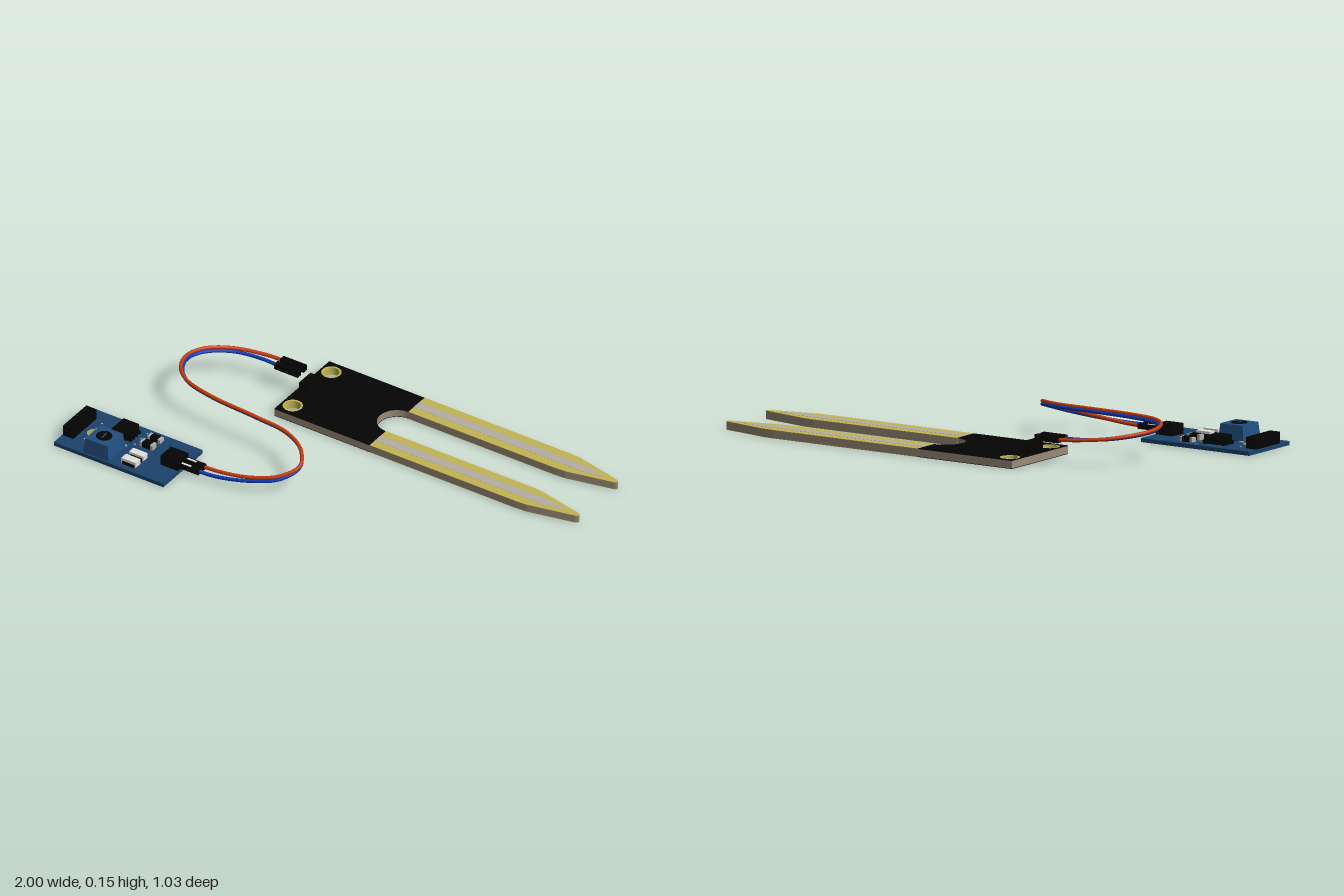
import * as THREE from 'three';

const mat = (name, color) => {
  const m = new THREE.MeshStandardMaterial({ color });
  m.name = name;
  return m;
};

export function createModel() {
  const M = {
    blue: mat('boardBlue', 0x1b426b),
    potBlue: mat('trimmerBlue', 0x214f7f),
    black: mat('black', 0x040404),
    gold: mat('gold', 0xc2b452),
    tin: mat('tin', 0xb4aea6),
    fibre: mat('boardEdge', 0x998b76),
    red: mat('redWire', 0xc83c0e),
    wireBlue: mat('blueWire', 0x1238b4),
    white: mat('white', 0xe2e2de),
  };
  const root = new THREE.Group();
  root.name = 'moistureSensorKit';

  const add = (parent, name, geo, material, x = 0, y = 0, z = 0) => {
    const mesh = new THREE.Mesh(geo, material);
    mesh.name = name;
    mesh.position.set(x, y, z);
    parent.add(mesh);
    return mesh;
  };
  const group = (name) => {
    const g = new THREE.Group();
    g.name = name;
    root.add(g);
    return g;
  };
  // box from its limits along each axis
  const box = (parent, name, m, x0, x1, y0, y1, z0, z1) =>
    add(parent, name, new THREE.BoxGeometry(x1 - x0, y1 - y0, z1 - z0), m,
      (x0 + x1) / 2, (y0 + y1) / 2, (z0 + z1) / 2);
  // flat slab: shape y points to -z, thickness runs from y0 to y1
  const slab = (parent, name, shape, m, y0, y1) => {
    const geo = new THREE.ExtrudeGeometry(shape, { depth: y1 - y0, bevelEnabled: false, curveSegments: 24 });
    return add(parent, name, geo.rotateX(-Math.PI / 2), m, 0, y0, 0);
  };
  const poly = (pts) => new THREE.Shape(pts.map(([x, y]) => new THREE.Vector2(x, y)));
  const hole = (x, y, r) => new THREE.Path().absarc(x, y, r, 0, Math.PI * 2, true);
  // plated hole: a gold barrel through the whole board
  const barrel = (parent, name, x, z, inner, outer, y0, y1) => {
    const s = new THREE.Shape().absarc(x, -z, outer, 0, Math.PI * 2, false);
    s.holes.push(hole(x, -z, inner));
    slab(parent, name, s, M.gold, y0, y1);
  };

  // ---------- forked probe ----------
  const probe = group('probe');
  const T = 0.034, C = 0.326, SLOT = 0.08, NECK = 0.055;
  const prongs = [0.4625, 0.1895];
  const mounts = prongs.map((v) => [-0.345, -v]);
  // prong edge from the neck round the tip, lower edge first
  const prongPoints = (c, h = 0.0575) => [
    [NECK, c - h], [0.74, c - h], [0.79, c - h * 0.95], [0.85, c - h * 0.72], [0.99, c - 0.011],
    [1, c - 0.006], [1, c + 0.006], [0.99, c + 0.011], [0.85, c + h * 0.72], [0.79, c + h * 0.95],
    [0.74, c + h], [NECK, c + h],
  ];
  // curved root of the slot, from its lower to its upper edge
  const slotArc = [];
  for (let i = 0; i <= 20; i++) {
    const a = Math.PI * 1.5 - (Math.PI * i) / 20;
    slotArc.push([NECK + SLOT * Math.cos(a), C + SLOT * Math.sin(a)]);
  }
  const [far, near] = prongs;
  const left = [[-0.393, 0.52], [-0.393, 0.132]];
  const cutMounts = (shape) => {
    mounts.forEach(([x, z]) => shape.holes.push(hole(x, -z, 0.04)));
    return shape;
  };
  const outline = cutMounts(poly([...left, ...prongPoints(near), ...slotArc, ...prongPoints(far)]));
  slab(probe, 'probeCore', outline, M.fibre, 0.002, T - 0.002);
  mounts.forEach(([x, z]) => barrel(probe, 'mountBarrel', x, z, 0.032, 0.04, 0, T));

  const mask = cutMounts(poly([...left, [NECK, 0.132], ...slotArc, [NECK, 0.52]]));
  // plating, mask and tinned strip on each face; the strip stands slightly proud
  const faces = [
    { y0: 0, y1: 0.002, strip: -0.0006, w: 0.026 },
    { y0: T - 0.002, y1: T, strip: T, w: 0.02 },
  ];
  faces.forEach(({ y0, y1, strip, w }) => {
    slab(probe, 'solderMask', mask, M.black, y0, y1);
    prongs.forEach((c) => {
      slab(probe, 'prongPlating', poly(prongPoints(c)), M.gold, y0, y1);
      const shape = poly([[NECK, c - w], [0.84, c - w], [0.93, c - 0.004],
        [0.93, c + 0.004], [0.84, c + w], [NECK, c + w]]);
      slab(probe, 'tinStrip', shape, M.tin, strip, strip + 0.0006);
    });
  });
  box(probe, 'probeHeader', M.black, -0.375, -0.335, T, 0.08, -0.36, -0.28);

  // ---------- sensor module ----------
  const module = group('sensorModule');
  const B = 0.016;
  const board = poly([[-1, -0.515], [-0.485, -0.515], [-0.485, -0.237], [-1, -0.237]]);
  board.holes.push(hole(-0.905, -0.377, 0.026));
  slab(module, 'moduleBoard', board, M.blue, 0, B);
  barrel(module, 'moduleHoleBarrel', -0.905, 0.377, 0.0235, 0.026, 0, B);

  // four-pin header on the outer end
  box(module, 'outputHeader', M.black, -0.996, -0.948, B, 0.062, 0.291, 0.456);
  for (let i = 0; i < 4; i++) {
    const z = 0.303 + i * 0.0415;
    box(module, 'solderPad', M.tin, -0.915, -0.909, B, B + 0.002, z, z + 0.006);
  }
  // trimmer with tapering body and round dial
  const trimmer = new THREE.BoxGeometry(0.12, 0.064, 0.12);
  const p = trimmer.attributes.position;
  for (let i = 0; i < p.count; i++) {
    if (p.getY(i) > 0) { p.setX(i, p.getX(i) * 0.88); p.setZ(i, p.getZ(i) * 0.9); }
  }
  trimmer.computeVertexNormals();
  add(module, 'trimmerBody', trimmer, M.potBlue, -0.808, B + 0.032, 0.447);
  add(module, 'trimmerDial', new THREE.CylinderGeometry(0.032, 0.032, 0.002, 24), M.black, -0.808, 0.081, 0.447);
  box(module, 'trimmerSlot', M.potBlue, -0.811, -0.805, 0.082, 0.083, 0.43, 0.464);
  [-0.862, -0.754].forEach((x) => box(module, 'trimmerPin', M.tin, x - 0.008, x + 0.008, B, B + 0.005, 0.378, 0.387));

  // comparator chip with four legs along each side
  box(module, 'chip', M.black, -0.836, -0.764, B + 0.004, 0.05, 0.268, 0.357);
  for (let i = 0; i < 4; i++) {
    const z = 0.279 + i * 0.02;
    [[-0.85, -0.836], [-0.764, -0.748]].forEach(([a, b]) => box(module, 'chipLeg', M.black, a, b, B, B + 0.014, z, z + 0.009));
  }
  // small surface parts: body with a cap at each end
  const smd = (name, x0, x1, z0, z1, h) => {
    const w = (x1 - x0) * 0.2;
    box(module, name, M.black, x0 + w, x1 - w, B, B + h, z0, z1);
    box(module, name + 'Cap', M.tin, x0, x0 + w, B, B + h - 0.002, z0, z1);
    box(module, name + 'Cap', M.tin, x1 - w, x1, B, B + h - 0.002, z0, z1);
  };
  smd('resistor', -0.705, -0.645, 0.27, 0.298, 0.02);
  smd('resistor', -0.705, -0.645, 0.322, 0.352, 0.024);
  box(module, 'lampBase', M.black, -0.695, -0.64, B, B + 0.012, 0.395, 0.49);
  box(module, 'indicatorLamp', M.white, -0.702, -0.635, B, 0.038, 0.4, 0.431);
  box(module, 'indicatorLamp', M.white, -0.702, -0.635, B, 0.04, 0.452, 0.486);
  [0.262, 0.305, 0.35].forEach((z) => box(module, 'solderPad', M.tin, -0.73, -0.724, B, B + 0.002, z, z + 0.006));

  // input header with two pins
  box(module, 'inputHeader', M.black, -0.568, -0.486, B, 0.058, 0.335, 0.411);

  // ---------- jumper wires ----------
  const cable = group('jumperWires');
  // hollow square plug running along x
  const sleeve = (x0, x1, y, z, h) => {
    const s = poly([[-h, -h], [h, -h], [h, h], [-h, h]]);
    const q = h * 0.5;
    s.holes.push(new THREE.Path([[-q, -q], [-q, q], [q, q], [q, -q]].map(([a, b]) => new THREE.Vector2(a, b))));
    const geo = new THREE.ExtrudeGeometry(s, { depth: x1 - x0, bevelEnabled: false }).rotateY(Math.PI / 2);
    add(cable, 'plugSleeve', geo, M.black, x0, y, z);
  };
  [-0.345, -0.304].forEach((z) => sleeve(-0.5, -0.39, 0.101, z, 0.0125));
  [0.355, 0.393].forEach((z) => {
    sleeve(-0.488, -0.395, 0.037, z, 0.0105);
    box(cable, 'plugContact', M.white, -0.478, -0.435, 0.0475, 0.0485, z - 0.005, z + 0.005);
    box(cable, 'pin', M.tin, -0.49, -0.42, 0.034, 0.04, z - 0.003, z + 0.003);
  });
  const wire = (name, m, pts) => {
    const curve = new THREE.CatmullRomCurve3(pts.map((v) => new THREE.Vector3(...v)));
    add(cable, name, new THREE.TubeGeometry(curve, 110, 0.0075, 10, false), m);
  };
  wire('redWire', M.red, [
    [-0.46, 0.1, -0.345], [-0.56, 0.104, -0.338], [-0.69, 0.116, -0.29], [-0.77, 0.129, -0.215],
    [-0.798, 0.138, -0.13], [-0.772, 0.144, -0.04], [-0.7, 0.146, 0.028], [-0.56, 0.145, 0.066],
    [-0.345, 0.143, 0.083], [-0.185, 0.14, 0.1], [-0.08, 0.132, 0.155], [-0.03, 0.113, 0.235],
    [-0.08, 0.085, 0.3], [-0.185, 0.06, 0.338], [-0.32, 0.042, 0.353], [-0.43, 0.037, 0.355],
  ]);
  wire('blueWire', M.wireBlue, [
    [-0.46, 0.1, -0.304], [-0.57, 0.103, -0.306], [-0.68, 0.111, -0.276], [-0.76, 0.122, -0.205],
    [-0.79, 0.13, -0.125], [-0.767, 0.134, -0.045], [-0.7, 0.135, 0.021], [-0.56, 0.135, 0.059],
    [-0.345, 0.134, 0.077], [-0.185, 0.131, 0.095], [-0.08, 0.121, 0.15], [-0.034, 0.1, 0.235],
    [-0.08, 0.073, 0.307], [-0.185, 0.052, 0.353], [-0.32, 0.038, 0.384], [-0.43, 0.037, 0.393],
  ]);
  return root;
}
